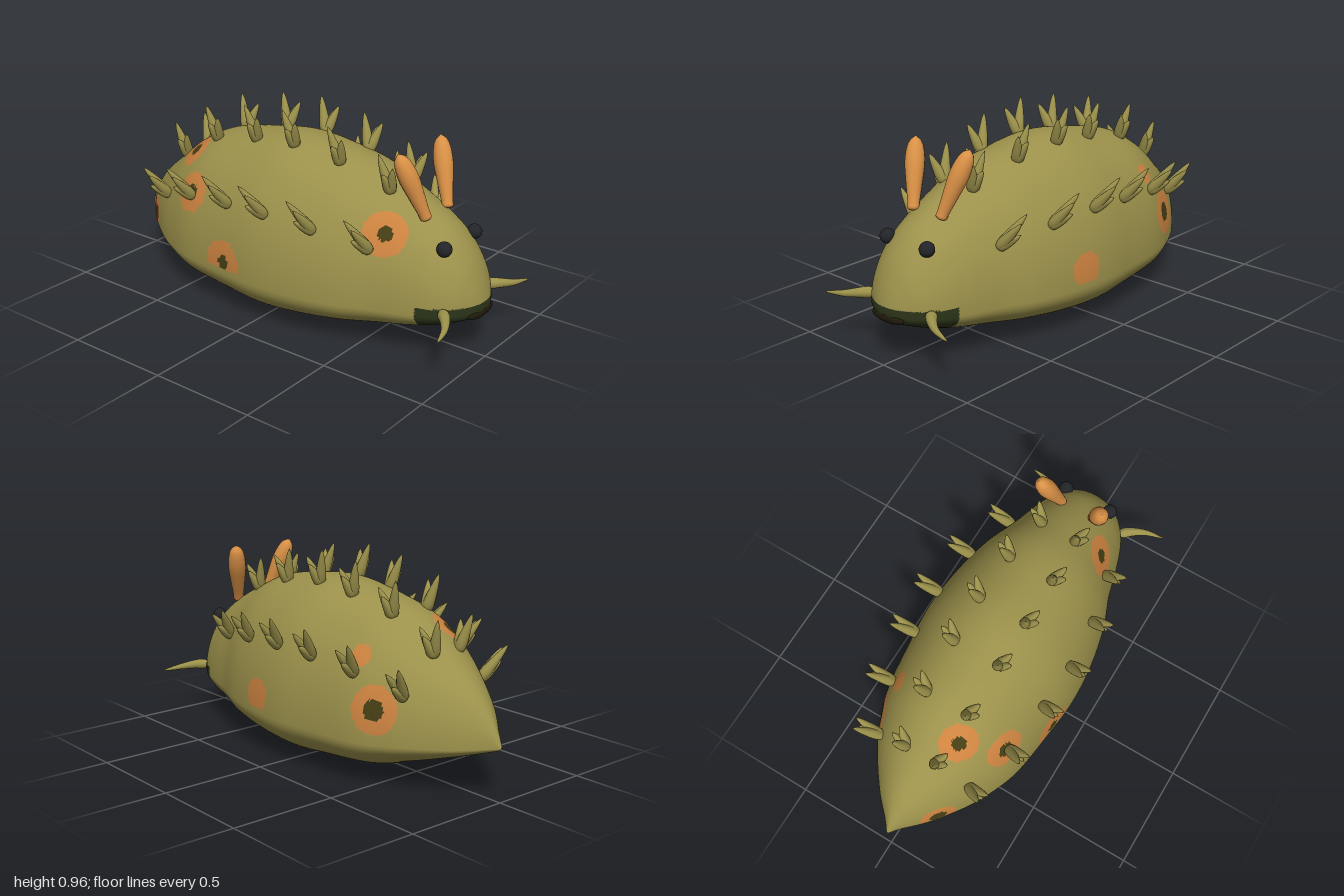
import * as THREE from 'three';

const mat = (name, color) => {
  const m = new THREE.MeshStandardMaterial({ color });
  m.name = name;
  return m;
};

export function createModel() {
  const group = new THREE.Group();
  const olive = mat('olive skin', 0x9c914b);
  const spotOrange = mat('spot orange', 0xcd8340);
  const spotDark = mat('spot centre', 0x453e14);
  const mossGreen = mat('mouth patch green', 0x2a3318);
  const hornOrange = mat('horn orange', 0xda9146);
  const black = mat('eye black', 0x222428);
  const brown = mat('mouth brown', 0x1f1a0c);

  const add = (name, geometry, material, parent = group) => {
    const mesh = new THREE.Mesh(geometry, material);
    mesh.name = name;
    parent.add(mesh);
    return mesh;
  };

  // Body cross-sections: x, top, bottom, half width, height of the widest line
  const sections = [
    [-1, 0.245, 0.235, 0.004, 0.24], [-0.95, 0.335, 0.215, 0.045, 0.235],
    [-0.85, 0.46, 0.18, 0.14, 0.225], [-0.7, 0.585, 0.13, 0.25, 0.22],
    [-0.58, 0.68, 0.092, 0.312, 0.212], [-0.43, 0.755, 0.045, 0.365, 0.21],
    [-0.2, 0.805, 0.02, 0.397, 0.21], [0, 0.83, 0.004, 0.415, 0.21],
    [0.2, 0.812, 0.02, 0.402, 0.21], [0.4, 0.775, 0.048, 0.362, 0.212],
    [0.57, 0.705, 0.078, 0.3, 0.217], [0.72, 0.63, 0.108, 0.258, 0.222],
    [0.83, 0.555, 0.14, 0.218, 0.226], [0.91, 0.455, 0.17, 0.165, 0.23],
    [0.955, 0.36, 0.19, 0.105, 0.232], [0.98, 0.28, 0.208, 0.05, 0.234],
    [0.986, 0.237, 0.233, 0.004, 0.235],
  ];
  const smooth = (a, b) => new THREE.CatmullRomCurve3(
    sections.map((s) => new THREE.Vector3(s[0], s[a], s[b])), false, 'catmullrom', 0.5);
  const topWidth = smooth(1, 3);
  const bottomSeam = smooth(2, 4);
  const point = (t, angle) => {
    const p = topWidth.getPoint(t), q = bottomSeam.getPoint(t), s = Math.sin(angle);
    const height = s > 0 ? p.y - q.z : q.z - q.y;
    return new THREE.Vector3(p.x, q.z + height * s, p.z * Math.cos(angle));
  };
  // Point on the skin at a given x and angle above the widest line
  const onSkin = (x, degrees, side) => {
    let lo = 0, hi = 1;
    for (let k = 0; k < 30; k++) {
      const mid = (lo + hi) / 2;
      if (topWidth.getPoint(mid).x < x) lo = mid; else hi = mid;
    }
    const p = point(lo, THREE.MathUtils.degToRad(degrees));
    p.z *= side;
    return p;
  };

  // Spots: x, angle, side, outer radius, centre radius
  const spots = [
    [0.6, 44, 1, 0.1, 0.034], [-0.555, 66, 1, 0.092, 0.034], [-0.44, 34, 1, 0.098, 0.036],
    [-0.815, 9, 1, 0.088, 0.042], [-0.165, 5, 1, 0.105, 0.033], [-0.55, 18, -1, 0.108, 0.048],
    [0.15, 8, -1, 0.078, 0], [-0.43, 42, -1, 0.05, 0],
  ].map(([x, a, side, r, c]) => ({ p: onSkin(x, a, side), r, c }));

  // Body skin, with the spots and mouth patch as their own face groups
  const N = 240, M = 168, verts = [], faces = [[], [], [], []];
  for (let i = 0; i <= N; i++) {
    for (let j = 0; j < M; j++) verts.push(point(i / N, (j / M) * Math.PI * 2));
  }
  const skinIndex = (p) => {
    if (p.x > 0.78 && p.y < 0.265) return 3;
    if (p.y < 0.232) return 0;
    for (const s of spots) {
      const d = p.distanceTo(s.p);
      if (d < s.r) return d < s.c ? 2 : 1;
    }
    return 0;
  };
  const centre = new THREE.Vector3();
  const face = (a, b, c) => {
    centre.copy(verts[a]).add(verts[b]).add(verts[c]).divideScalar(3);
    faces[skinIndex(centre)].push(a, b, c);
  };
  for (let i = 0; i < N; i++) {
    for (let j = 0; j < M; j++) {
      const k = (j + 1) % M;
      const a = i * M + j, b = a + M, c = (i + 1) * M + k, d = i * M + k;
      face(a, b, c);
      face(a, c, d);
    }
  }
  const skin = new THREE.BufferGeometry().setFromPoints(verts);
  skin.setIndex(faces.flat());
  let start = 0;
  faces.forEach((f, m) => {
    skin.addGroup(start, f.length, m);
    start += f.length;
  });
  skin.computeVertexNormals();
  add('body', skin, [olive, spotOrange, spotDark, mossGreen]);

  // Lathed tapering shapes, unit length along y
  const lathe = (points) => new THREE.LatheGeometry(
    new THREE.SplineCurve(points.map((p) => new THREE.Vector2(...p))).getPoints(16)
      .map((p) => new THREE.Vector2(Math.max(p.x, 0), p.y)), 14);
  const prongShape = lathe([[0, -0.08], [0.8, 0.02], [1, 0.2], [0.8, 0.5], [0.42, 0.82], [0, 1]]);
  const hornShape = lathe([[0, -0.02], [0.55, 0], [0.6, 0.1], [0.85, 0.4], [1, 0.66], [0.72, 0.9], [0, 1]]);
  const up = new THREE.Vector3(0, 1, 0);
  const grow = (name, shape, material, base, tip, radius, parent) => {
    const dir = tip.clone().sub(base), length = dir.length();
    const mesh = add(name, shape, material, parent);
    mesh.position.copy(base);
    mesh.quaternion.setFromUnitVectors(up, dir.normalize());
    mesh.scale.set(radius, length, radius);
  };

  // Four rows of back spikes, three prongs in each cluster
  const rows = [
    { angle: 74, dx: 0.02, prongs: [[-0.05, 0.17, 0.03], [0.04, 0.13, 0.05], [0, 0.1, 0.07]] },
    { angle: 33, dx: 0.035, prongs: [[-0.07, 0.155, 0.1], [-0.015, 0.13, 0.12], [-0.03, 0.07, 0.1]] },
  ];
  for (const side of [1, -1]) {
    for (const row of rows) {
      for (const x of [-0.69, -0.46, -0.21, 0.015, 0.265, 0.52]) {
        const cluster = new THREE.Group();
        cluster.name = 'spikeCluster';
        group.add(cluster);
        const base = onSkin(x + row.dx, row.angle, side);
        base.y -= 0.012;
        for (const [px, py, pz] of row.prongs) {
          const tip = base.clone().add(new THREE.Vector3(px, py, pz * side));
          grow('spike', prongShape, olive, base, tip, 0.025, cluster);
        }
      }
    }

    // Head horns
    grow('horn', hornShape, hornOrange, new THREE.Vector3(0.725, 0.61, 0.085 * side),
      new THREE.Vector3(0.625, 0.9, 0.165 * side), 0.044);

    // Eyes
    const eye = add('eye', new THREE.SphereGeometry(0.034, 24, 16), black);
    eye.position.set(0.843, 0.512, 0.122 * side);

    // Curved feelers beside the mouth
    const path = new THREE.CatmullRomCurve3([[0.87, 0.25, 0.17], [0.915, 0.25, 0.215],
      [0.96, 0.24, 0.285], [0.988, 0.228, 0.385]].map(([x, y, z]) => new THREE.Vector3(x, y, z * side)));
    const feeler = new THREE.TubeGeometry(path, 20, 1, 14);
    const pos = feeler.attributes.position, v = new THREE.Vector3();
    for (let i = 0; i < pos.count; i++) {
      const t = Math.floor(i / 15) / 20, c = path.getPointAt(t);
      const r = 0.031 * Math.min(1, Math.sqrt(t * 6)) * Math.sqrt(1 - t) * (1 - 0.4 * t);
      v.fromBufferAttribute(pos, i).sub(c).multiplyScalar(r).add(c);
      pos.setXYZ(i, v.x, v.y, v.z);
    }
    feeler.computeVertexNormals();
    add('feeler', feeler, olive);
  }

  // Mouth
  const mouth = add('mouth', new THREE.SphereGeometry(1, 32, 16), brown);
  mouth.position.set(0.962, 0.217, 0);
  mouth.scale.set(0.027, 0.027, 0.096);

  return group;
}
